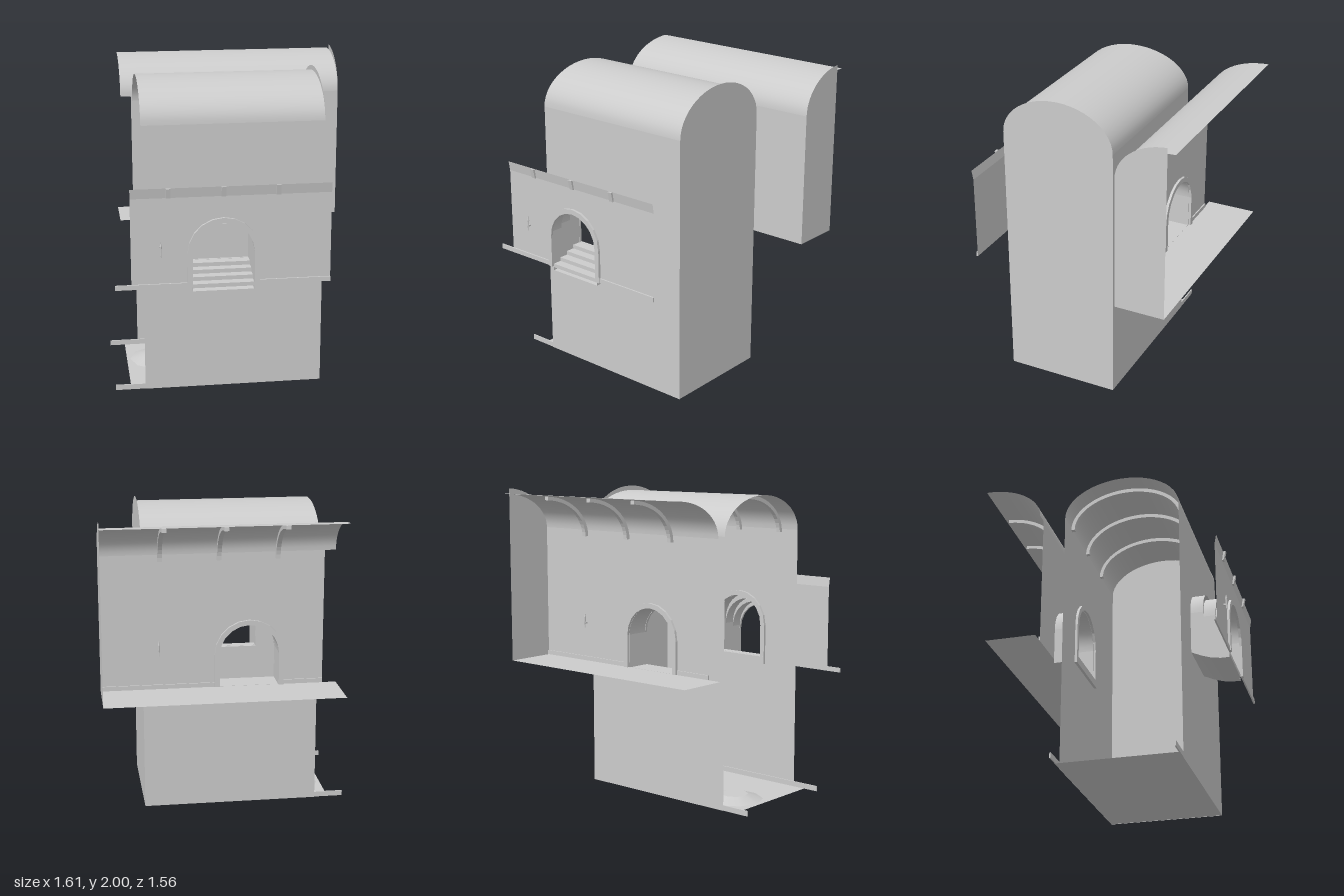
import * as THREE from 'three';

const mat = new THREE.MeshStandardMaterial({ color: 0xcccccc, side: THREE.DoubleSide });
const DOOR_X = -0.145, DOOR_R = 0.19;

export function createModel() {
  const root = new THREE.Group();
  const add = (name, geo) => {
    const m = new THREE.Mesh(geo, mat);
    m.name = name;
    root.add(m);
    return m;
  };
  const box = (name, x0, x1, y0, y1, z0, z1) =>
    add(name, new THREE.BoxGeometry(x1 - x0, y1 - y0, z1 - z0)
      .translate((x0 + x1) / 2, (y0 + y1) / 2, (z0 + z1) / 2));

  // Smooth sheet between two ends; point(i, end) gives the position
  const sheet = (name, n, point) => {
    const g = new THREE.PlaneGeometry(1, 1, 1, n), p = g.attributes.position;
    for (let i = 0; i <= n; i++)
      for (let e = 0; e < 2; e++) p.setXYZ(i * 2 + e, ...point(i, e));
    g.computeVertexNormals();
    return add(name, g);
  };
  const floor = (name, x0, x1, y, z0, z1) =>
    sheet(name, 1, (i, e) => [e ? x1 : x0, y, i ? z0 : z1]);

  // Closed vault curve points as [z, y]
  const vault = (zc, rz, y, ry, a0, a1, n = 24) => Array.from({ length: n + 1 }, (_, i) => {
    const a = a0 + (a1 - a0) * i / n;
    return new THREE.Vector2(zc + rz * Math.cos(a), y + ry * Math.sin(a));
  });
  const roof = (name, pts, x0, x1) =>
    sheet(name, pts.length - 1, (i, e) => [e ? x1 : x0, pts[i].y, pts[i].x]);
  // Shape drawn in z and y, placed at x with a width along x
  const side = (name, pts, x, w = 0) => {
    const s = new THREE.Shape(pts);
    const g = w ? new THREE.ExtrudeGeometry(s, { depth: w, bevelEnabled: false }).translate(0, 0, -w / 2)
      : new THREE.ShapeGeometry(s);
    return add(name, g.rotateY(-Math.PI / 2).translate(x, 0, 0));
  };
  const rib = (outer, inner, x) => side('roofRib', [...outer, ...inner.slice().reverse()], x, 0.028);

  // Round-topped doorway outline
  const arch = (r, y0, spring, n = 10) => {
    const pts = [new THREE.Vector2(DOOR_X + r, y0)];
    for (let i = 0; i <= n; i++) {
      const a = Math.PI * i / n;
      pts.push(new THREE.Vector2(DOOR_X + r * Math.cos(a), spring + r * Math.sin(a)));
    }
    pts.push(new THREE.Vector2(DOOR_X - r, y0));
    return pts;
  };
  const wall = (name, x0, x1, y0, y1, z, doorY, spring) => {
    const s = new THREE.Shape([[x0, y0], [x1, y0], [x1, y1], [x0, y1]].map(p => new THREE.Vector2(...p)));
    s.holes.push(new THREE.Path(arch(DOOR_R, doorY + 0.001, spring)));
    add(name, new THREE.ShapeGeometry(s).translate(0, 0, z));
  };
  const frame = (y0, spring, z) => {
    const s = new THREE.Shape([...arch(0.222, y0, spring), ...arch(DOOR_R, y0, spring).reverse()]);
    add('doorFrame', new THREE.ExtrudeGeometry(s, { depth: 0.016, bevelEnabled: false }).translate(0, 0, z));
  };
  const torch = (x, y, z, dir) => {
    add('torchHandle', new THREE.CylinderGeometry(0.007, 0.004, 0.07, 6).translate(x, y, z + dir * 0.018));
    add('torchHead', new THREE.ConeGeometry(0.008, 0.03, 6).translate(x, y + 0.05, z + dir * 0.018));
    box('torchBracket', x - 0.004, x + 0.004, y - 0.01, y, Math.min(z, z + dir * 0.018), Math.max(z, z + dir * 0.018));
  };

  // Main room: floor, walls, vaulted roof, closed left end and open right end
  const zF = 0.505, zB = -0.252, zc = (zF + zB) / 2, hz = (zF - zB) / 2;
  floor('mainFloor', -0.71, 0.52, 0.002, zB, zF);
  wall('mainFrontWall', -0.62, 0.52, 0, 1.73, zF, 0.86, 1.075);
  wall('mainBackWall', -0.62, 0.52, 0, 1.73, zB, 0.86, 1.075);
  roof('mainRoof', vault(zc, hz, 1.73, 0.24, 0, Math.PI), -0.62, 0.52);
  side('mainEndWall', [new THREE.Vector2(zB, 0), new THREE.Vector2(zF, 0),
    ...vault(zc, hz, 1.73, 0.27, 0, Math.PI)], 0.52);
  for (const x of [-0.48, -0.145, 0.19])
    rib(vault(zc, hz - 0.002, 1.71, 0.255, 0, Math.PI), vault(zc, hz - 0.025, 1.71, 0.23, 0, Math.PI), x);
  box('skirting', -0.81, 0.52, 0.002, 0.036, zF - 0.008, zF);
  box('skirting', -0.81, 0.52, 0.002, 0.036, zB, zB + 0.008);
  box('skirting', 0.51, 0.519, 0.002, 0.036, zB, zF);
  frame(0.86, 1.075, zF - 0.018);
  frame(0.86, 1.075, zB + 0.002);
  box('doorSill', DOOR_X - 0.222, DOOR_X + 0.222, 0.81, 0.86, zF - 0.02, zF - 0.001);
  box('doorSill', DOOR_X - 0.222, DOOR_X + 0.222, 0.81, 0.86, zB - 0.02, zB + 0.018);

  // Low mounds on the floor
  for (const [x, z] of [[-0.5, 0.01], [0.17, 0.28]])
    add('floorMound', new THREE.CylinderGeometry(0.09, 0.19, 0.035, 9, 1).toNonIndexed()
      .rotateY(-Math.PI / 2).translate(x, 0.019, z));

  // Back room: open at its back and right end
  const bz = -0.4;
  floor('backFloor', -0.71, 0.8, 0.862, -0.73, bz);
  wall('backRoomWall', -0.62, 0.8, 0.862, 1.73, bz, 0.862, 1.075);
  roof('backRoof', vault(-0.78, 0.38, 1.73, 0.237, 0, Math.PI / 2, 14), -0.69, 0.8);
  side('backEndWall', [new THREE.Vector2(-0.73, 0.862), new THREE.Vector2(bz, 0.862),
    ...vault(-0.75, 0.35, 1.73, 0.27, 0, Math.PI / 2 - 0.06, 14), new THREE.Vector2(-0.73, 2)], 0.8);
  for (const x of [0.42, 0.05, -0.32])
    rib(vault(-0.78, 0.378, 1.69, 0.27, 0, 1.5, 14), vault(-0.78, 0.353, 1.69, 0.247, 0, 1.5, 14), x);
  box('skirting', DOOR_X + 0.222, 0.8, 0.864, 0.892, bz - 0.008, bz);
  box('skirting', -0.62, DOOR_X - 0.222, 0.864, 0.892, bz - 0.008, bz);
  frame(0.864, 1.075, bz - 0.018);
  torch(0.43, 1.12, bz, -1);

  // Front panel with the start of its own vault
  const pz = 0.746;
  wall('frontPanel', -0.71, 0.52, 0.77, 1.34, pz, 0.77, 0.985);
  roof('frontPanelVault', [new THREE.Vector2(pz, 1.34), new THREE.Vector2(0.757, 1.402)], -0.71, 0.52);
  for (const x of [-0.48, -0.145, 0.19])
    side('ribEnd', [[0.75, 1.34], [0.76, 1.34], [0.774, 1.402], [0.76, 1.402]]
      .map(p => new THREE.Vector2(...p)), x, 0.028);
  box('skirting', -0.81, DOOR_X - 0.222, 0.77, 0.8, pz, pz + 0.01);
  box('skirting', DOOR_X + 0.222, 0.52, 0.77, 0.8, pz, pz + 0.01);
  frame(0.77, 0.985, pz);
  torch(-0.53, 1.01, 0.756, 1);

  // Passages: arched ceilings
  const ceiling = (z0, z1, spring) => sheet('passageCeiling', 16, (i, e) => {
    const a = Math.PI * i / 16;
    return [DOOR_X + DOOR_R * Math.cos(a), spring + DOOR_R * Math.sin(a), e ? z1 : z0];
  });
  ceiling(bz, zB, 1.075);
  ceiling(zF, 0.588, 1.075);
  ceiling(0.588, 0.668, 1.04);
  ceiling(0.668, pz, 1.01);
  // Passage side walls, with a curved underside on the stair side
  const under = [[pz, 0.74], [0.69, 0.74], [0.63, 0.75], [0.57, 0.77], [zF, 0.8]].map(p => new THREE.Vector2(...p));
  const top = [[zF, 1.075], [0.588, 1.075], [0.588, 1.04], [0.668, 1.04], [0.668, 1.01], [pz, 1.01]]
    .map(p => new THREE.Vector2(...p));
  for (const x of [DOOR_X - DOOR_R, DOOR_X + DOOR_R]) {
    side('stairSideWall', [...under, ...top], x);
    side('passageSideWall', [[bz, 0.835], [zB, 0.835], [zB, 1.075], [bz, 1.075]]
      .map(p => new THREE.Vector2(...p)), x);
  }
  roof('stairUnderside', under, DOOR_X - DOOR_R, DOOR_X + DOOR_R);
  box('passageFloor', DOOR_X - DOOR_R, DOOR_X + DOOR_R, 0.835, 0.861, bz, zB);
  // Stairs rising into the main room
  for (let i = 0; i < 4; i++) {
    const z1 = pz - i * 0.06, y = 0.785 + i * 0.025;
    box('step', DOOR_X - DOOR_R, DOOR_X + DOOR_R, y - 0.025, y, z1 - 0.062, z1);
  }
  return root;
}
